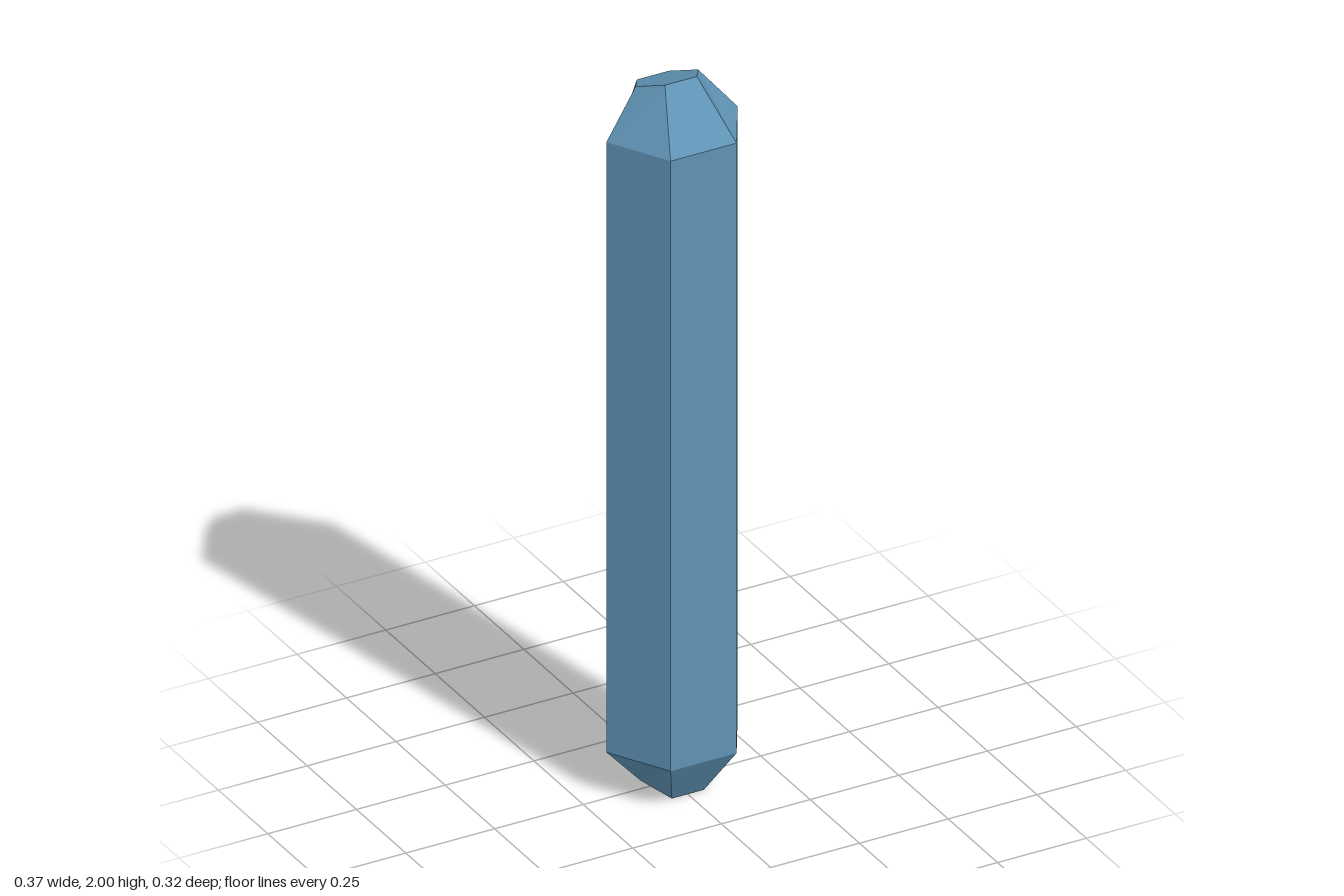
import * as THREE from 'three';

// Hexagonal ring with wide corners at the sides; each row is [halfWidth, y, z]
function hexRing(front, side, back) {
  const corner = ([x, y, z], s) => new THREE.Vector3(s * x, y, z);
  return [corner(side, 1), corner(back, 1), corner(back, -1),
    corner(side, -1), corner(front, -1), corner(front, 1)];
}

// Walls joining a lower ring to an upper ring
function band(lower, upper) {
  const pts = [];
  for (let i = 0; i < 6; i++) {
    const j = (i + 1) % 6;
    pts.push(lower[i], lower[j], upper[j], lower[i], upper[j], upper[i]);
  }
  return pts;
}

// Flat hexagon closing one end
function cap(ring, facesUp) {
  const pts = [];
  for (let i = 1; i < 5; i++) {
    pts.push(ring[0], ...(facesUp ? [ring[i], ring[i + 1]] : [ring[i + 1], ring[i]]));
  }
  return pts;
}

export function createModel() {
  const group = new THREE.Group();
  group.name = 'crystal';
  const material = new THREE.MeshStandardMaterial({ color: 0x5f93b5, flatShading: true });

  const bottomFacet = hexRing([0.045, 0, 0.08], [0.09, 0.025, 0.002], [0.045, 0.05, -0.076]);
  const lowerEdge = hexRing([0.093, 0.13, 0.16], [0.185, 0.13, 0], [0.093, 0.215, -0.16]);
  const upperEdge = hexRing([0.093, 1.855, 0.16], [0.185, 1.855, 0], [0.093, 1.69, -0.16]);
  const topFacet = hexRing([0.045, 2, 0.045], [0.088, 1.973, -0.026], [0.045, 1.946, -0.097]);

  function addPart(name, points) {
    // Reversed winding turns the walls outward
    const geometry = new THREE.BufferGeometry().setFromPoints(points);
    geometry.computeVertexNormals();
    const mesh = new THREE.Mesh(geometry, material);
    mesh.name = name;
    group.add(mesh);
  }

  addPart('shaft', band(lowerEdge, upperEdge));
  addPart('upperTip', [...band(upperEdge, topFacet), ...cap(topFacet, true)]);
  addPart('lowerTip', [...band(bottomFacet, lowerEdge), ...cap(bottomFacet, false)]);
  return group;
}
